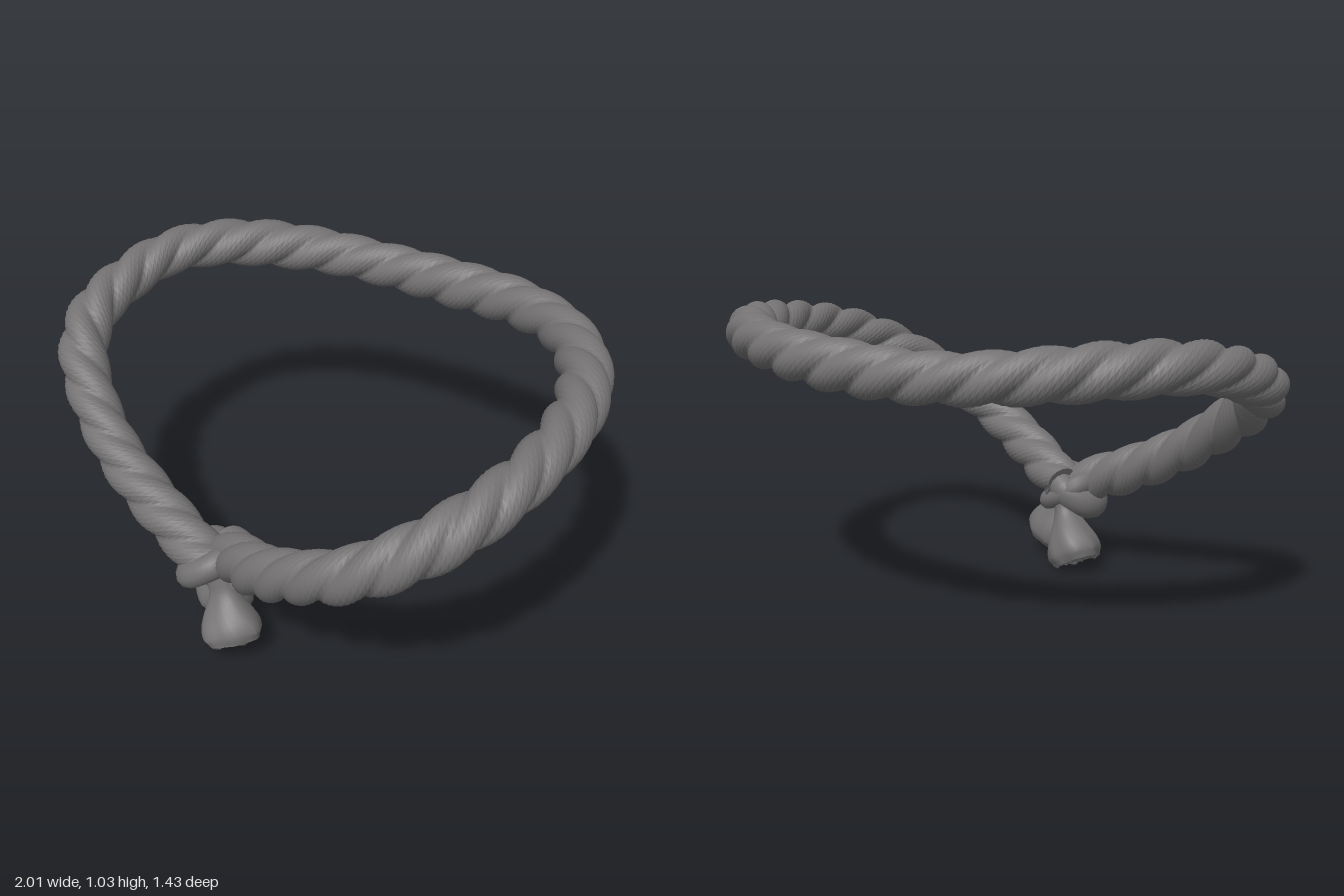
import * as THREE from 'three';
import { toCreasedNormals } from 'three/addons/utils/BufferGeometryUtils.js';

const TAU = Math.PI * 2;

// Sweeps a ring along a curve. radius(t, a) shapes the section, twist turns it,
// bump(a, k) pushes the end caps out along the curve (k = 1 at the rim, 0 at the centre).
function sweep(points, { segs, radial, radius, twist = 0, closed = false, bump = () => 0, crease = 0.8 }) {
  const curve = new THREE.CatmullRomCurve3(points.map(p => new THREE.Vector3(...p)), closed);
  curve.arcLengthDivisions = 600;
  const { tangents, normals, binormals } = curve.computeFrenetFrames(segs, closed);
  const pos = [], idx = [];
  const ring = (i, scale, cap) => {
    const t = i / segs, c = curve.getPointAt(t), turn = twist * t * curve.getLength();
    for (let j = 0; j < radial; j++) {
      const a = j / radial * TAU, r = radius(t, a) * scale;
      const v = c.clone()
        .addScaledVector(normals[i], r * Math.cos(a + turn))
        .addScaledVector(binormals[i], r * Math.sin(a + turn));
      if (cap) v.addScaledVector(tangents[i], cap * bump(a, scale));
      pos.push(v.x, v.y, v.z);
    }
  };
  const capScales = [0.85, 0.6, 0.3, 0.001];
  if (!closed) for (const k of [...capScales].reverse()) ring(0, k, -1);
  for (let i = 0; i <= segs; i++) ring(i, 1, 0);
  if (!closed) for (const k of capScales) ring(segs, k, 1);
  const rows = pos.length / 3 / radial;
  for (let i = 0; i < rows - 1; i++) {
    for (let j = 0; j < radial; j++) {
      const k = (j + 1) % radial;
      const a = i * radial + j, b = i * radial + k, c = a + radial, d = b + radial;
      idx.push(a, b, c, b, d, c);
    }
  }
  const g = new THREE.BufferGeometry();
  g.setAttribute('position', new THREE.Float32BufferAttribute(pos, 3));
  g.setIndex(idx);
  return toCreasedNormals(g, crease);
}

export function createModel() {
  const group = new THREE.Group();
  const grey = new THREE.MeshStandardMaterial({ color: 0x747272 });
  grey.name = 'rope grey';
  const add = (name, geometry) => {
    const mesh = new THREE.Mesh(geometry, grey);
    mesh.name = name;
    group.add(mesh);
    return mesh;
  };

  // Main loop: three strands laid together, from the knot around the back and home again
  const loop = [
    [0.02, 0.32, 0.59], [-0.1, 0.37, 0.6], [-0.25, 0.43, 0.605], [-0.45, 0.53, 0.605],
    [-0.64, 0.65, 0.57], [-0.79, 0.76, 0.5], [-0.88, 0.84, 0.38], [-0.915, 0.9, 0.2],
    [-0.91, 0.94, 0.04], [-0.86, 0.955, -0.1], [-0.74, 0.95, -0.27], [-0.54, 0.93, -0.44],
    [-0.28, 0.915, -0.56], [0, 0.925, -0.615], [0.24, 0.945, -0.63], [0.5, 0.965, -0.565],
    [0.7, 0.965, -0.42], [0.83, 0.955, -0.23], [0.9, 0.935, -0.02], [0.92, 0.9, 0.18],
    [0.89, 0.84, 0.36], [0.82, 0.77, 0.48], [0.68, 0.67, 0.585], [0.5, 0.57, 0.615],
    [0.3, 0.46, 0.6], [0.13, 0.38, 0.55], [0.02, 0.33, 0.51],
  ];
  add('twistedRope', sweep(loop, {
    segs: 260, radial: 24, twist: -TAU / 0.5,
    radius: (t, a) => (0.088 + 0.003 * Math.sin(t * 41)) *
      (0.76 + 0.24 * Math.pow(Math.abs(Math.cos(1.5 * a)), 0.8)),
  }));

  // Knot: a core with two crossing wraps
  const core = add('knotCore', new THREE.SphereGeometry(1, 20, 14));
  core.scale.set(0.075, 0.075, 0.09);
  core.position.set(0.015, 0.31, 0.555);
  const wrap = r => ({ segs: 48, radial: 14, closed: true, radius: (t, a) => r * (1 + 0.1 * Math.cos(2 * a + t * TAU)) });
  add('frontWrap', sweep([
    [-0.065, 0.265, 0.59], [0, 0.305, 0.65], [0.065, 0.35, 0.61],
    [0.06, 0.35, 0.53], [0, 0.315, 0.49], [-0.06, 0.275, 0.53],
  ], wrap(0.054)));
  add('backWrap', sweep([
    [-0.05, 0.345, 0.56], [0.03, 0.305, 0.6], [0.095, 0.27, 0.57],
    [0.085, 0.27, 0.51], [0.01, 0.3, 0.485], [-0.05, 0.34, 0.51],
  ], wrap(0.042)));

  // Two flared tails with frayed, uneven ends
  const tails = [
    ['leftTail', 0.4, [[0.06, 0.31, 0.59], [0.085, 0.25, 0.59], [0.12, 0.165, 0.6], [0.155, 0.088, 0.61]]],
    ['rightTail', 2.1, [[0.01, 0.3, 0.51], [0, 0.24, 0.5], [-0.04, 0.15, 0.48], [-0.083, 0.062, 0.47]]],
  ];
  for (const [name, phase, points] of tails) {
    add(name, sweep(points, {
      segs: 20, radial: 28, twist: -3, crease: 0.6,
      radius: (t, a) => {
        const flare = 0.046 + 0.056 * THREE.MathUtils.smoothstep(t, 0.2, 0.85);
        const rim = 1 - 0.14 * THREE.MathUtils.smoothstep(t, 0.88, 1);
        return flare * rim * (1 + 0.06 * Math.cos(3 * a + phase) + 0.035 * t * Math.sin(7 * a + phase));
      },
      bump: (a, k) => 0.013 * Math.sin(5 * a + k * 9 + phase) * Math.min(1, k * 2) - 0.012 * (1 - k),
    }));
  }
  return group;
}
